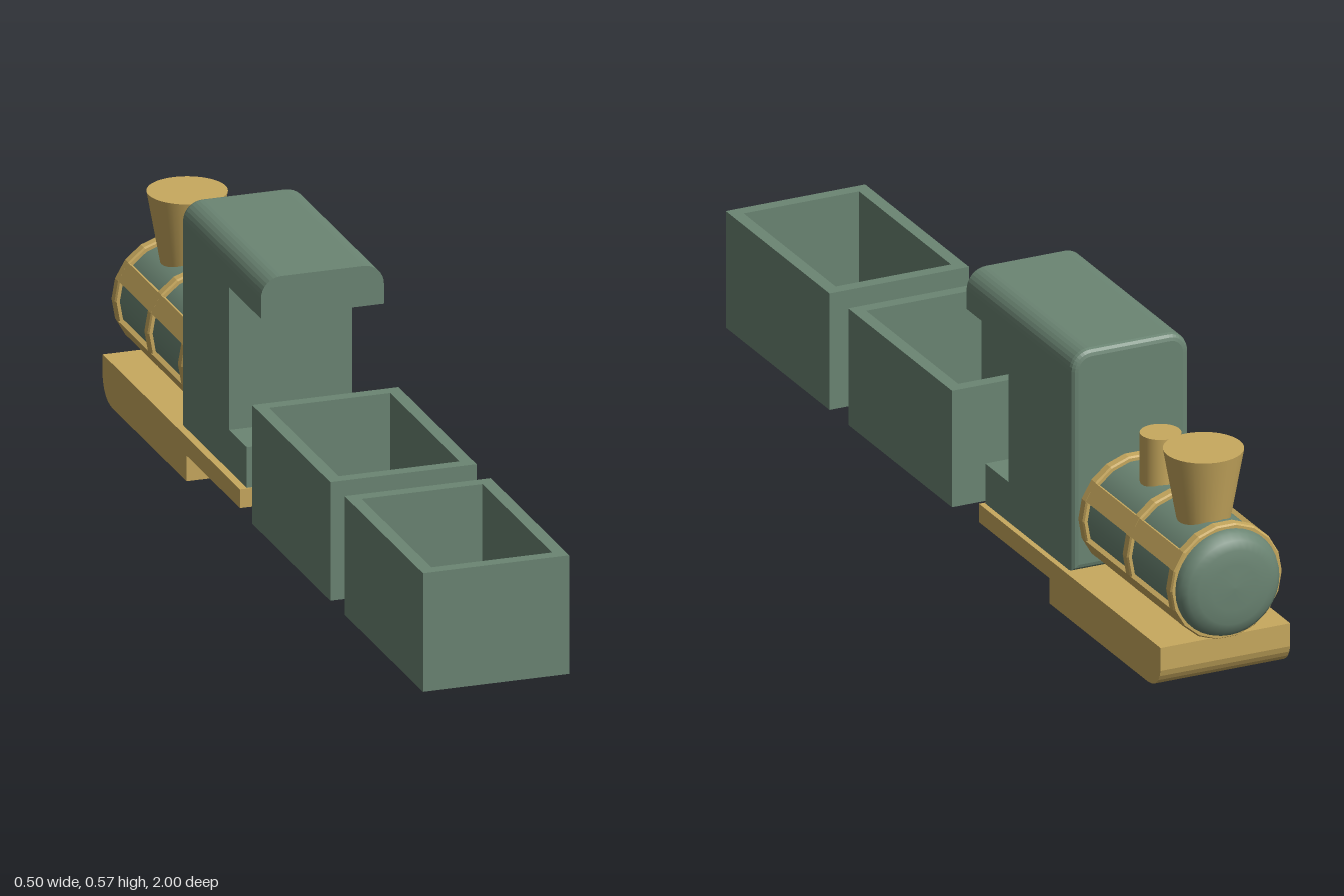
import * as THREE from 'three';

const green = new THREE.MeshStandardMaterial({ color: 0x6b8573 });
const gold = new THREE.MeshStandardMaterial({ color: 0xc8a95e });
const greenFlat = green.clone();
greenFlat.flatShading = true;
const goldFlat = gold.clone();
goldFlat.flatShading = true;

function add(parent, name, geometry, material, x = 0, y = 0, z = 0) {
  const mesh = new THREE.Mesh(geometry, material);
  mesh.name = name;
  mesh.position.set(x, y, z);
  parent.add(mesh);
  return mesh;
}

// Rectangle, optionally with rounded top corners
function archShape(x0, x1, y0, y1, r) {
  const s = new THREE.Shape();
  s.moveTo(x0, y0);
  s.lineTo(x1, y0);
  s.lineTo(x1, y1 - r);
  s.absarc(x1 - r, y1 - r, r, 0, Math.PI / 2, false);
  s.lineTo(x0 + r, y1);
  s.absarc(x0 + r, y1 - r, r, Math.PI / 2, Math.PI, false);
  s.closePath();
  return s;
}

function rectPoints(hw, hd) {
  return [[-hw, -hd], [hw, -hd], [hw, hd], [-hw, hd]].map(p => new THREE.Vector2(...p));
}

// Open wagon: four walls and a floor
function makeWagon(name, z) {
  const g = new THREE.Group();
  g.name = name;
  g.position.set(0.008, 0.055, z);
  const hw = 0.156, hd = 0.2365, wall = 0.027, height = 0.254;
  const outline = new THREE.Shape(rectPoints(hw, hd));
  outline.holes.push(new THREE.Path(rectPoints(hw - wall, hd - wall)));
  const walls = new THREE.ExtrudeGeometry(outline, { depth: height, bevelEnabled: false });
  walls.rotateX(-Math.PI / 2);
  add(g, 'wagonWalls', walls, greenFlat);
  add(g, 'wagonFloor', new THREE.BoxGeometry(2 * (hw - wall), wall, 2 * (hd - wall)), greenFlat, 0, wall / 2, 0);
  return g;
}

// Stepped base plate with a rounded lower nose
function makeBase() {
  const s = new THREE.Shape();
  s.moveTo(0.136, 0.095);
  s.lineTo(0.136, 0.055);
  s.lineTo(0.458, 0.055);
  s.lineTo(0.458, 0);
  s.lineTo(0.905, 0);
  s.quadraticCurveTo(0.955, 0.002, 0.964, 0.045);
  s.lineTo(0.964, 0.095);
  s.closePath();
  const geo = new THREE.ExtrudeGeometry(s, { depth: 0.29, bevelEnabled: false, curveSegments: 6 });
  geo.rotateY(Math.PI / 2); // profile runs towards -z
  return geo;
}

// Cab: roof overhang, solid wall block and rear ledge
function makeCab() {
  const g = new THREE.Group();
  g.name = 'cab';
  const x0 = -0.125, x1 = 0.137, top = 0.573, r = 0.043;
  const slab = (y0, depth) => new THREE.ExtrudeGeometry(archShape(x0, x1, y0, top, r),
    { depth, bevelEnabled: false, curveSegments: 4 });
  add(g, 'roofOverhang', slab(0.487, 0.191), green, 0, 0, -0.246);
  add(g, 'cabBody', slab(0.095, 0.277), green, 0, 0, -0.523);
  const b = 0.014;
  const cap = new THREE.ExtrudeGeometry(archShape(x0, x1, 0.095, top, r),
    { depth: 0.0005, bevelThickness: b, bevelSize: b, bevelOffset: -b, bevelSegments: 3, curveSegments: 4 });
  add(g, 'cabFrontEdge', cap, green, 0, 0, -0.523);
  add(g, 'cabLedge', new THREE.BoxGeometry(x1 - x0, 0.087, 0.106), greenFlat, (x0 + x1) / 2, 0.1385, -0.193);
  return g;
}

// Boiler with domed nose, hoops, side bars and chimneys
function makeBoiler() {
  const g = new THREE.Group();
  g.name = 'boiler';
  g.position.set(0.002, 0.213, 0);
  const sides = 18, start = Math.PI / sides, R = 0.125;

  const shell = new THREE.CylinderGeometry(0.115, 0.115, 0.44, sides, 1, true, start);
  shell.rotateX(-Math.PI / 2);
  add(g, 'boilerShell', shell, green, 0, 0, -0.74);

  const nose = [[0.115, 0.955], [0.115, 0.968], [0.11, 0.982], [0.099, 0.993], [0.08, 1.0], [0.05, 1.003], [0, 1.005]];
  const noseGeo = new THREE.LatheGeometry(nose.map(p => new THREE.Vector2(...p)), 36);
  noseGeo.rotateX(-Math.PI / 2);
  add(g, 'boilerNose', noseGeo, green);

  for (const z of [-0.553, -0.755, -0.953]) {
    const w = 0.013;
    const ring = [[0.11, -w], [R - 0.003, -w], [R, -w + 0.004], [R, w - 0.004], [R - 0.003, w], [0.11, w]];
    const hoop = new THREE.LatheGeometry(ring.map(p => new THREE.Vector2(...p)), sides, start);
    hoop.rotateX(-Math.PI / 2);
    add(g, 'boilerHoop', hoop, goldFlat, 0, 0, z);
  }

  for (const deg of [30, -30, 150, 210]) {
    const a = THREE.MathUtils.degToRad(deg), d = 0.117;
    const bar = add(g, 'boilerBar', new THREE.BoxGeometry(0.012, 0.042, 0.39), goldFlat,
      d * Math.cos(a), d * Math.sin(a), -0.753);
    bar.rotation.z = a;
  }

  add(g, 'chimney', new THREE.CylinderGeometry(0.082, 0.053, 0.16, 36), gold, 0, 0.172, -0.86);
  add(g, 'steamDome', new THREE.CylinderGeometry(0.042, 0.042, 0.12, 32), gold, 0, 0.152, -0.664);
  return g;
}

export function createModel() {
  const model = new THREE.Group();
  model.name = 'toyTrain';

  // The whole train sits at a slight angle
  const train = new THREE.Group();
  train.name = 'train';
  train.rotation.y = THREE.MathUtils.degToRad(-6);
  model.add(train);

  const engine = new THREE.Group();
  engine.name = 'engine';
  add(engine, 'basePlate', makeBase(), goldFlat, -0.141, 0, 0);
  engine.add(makeCab(), makeBoiler());

  train.add(engine, makeWagon('frontWagon', 0.193), makeWagon('rearWagon', 0.7515));
  return model;
}
